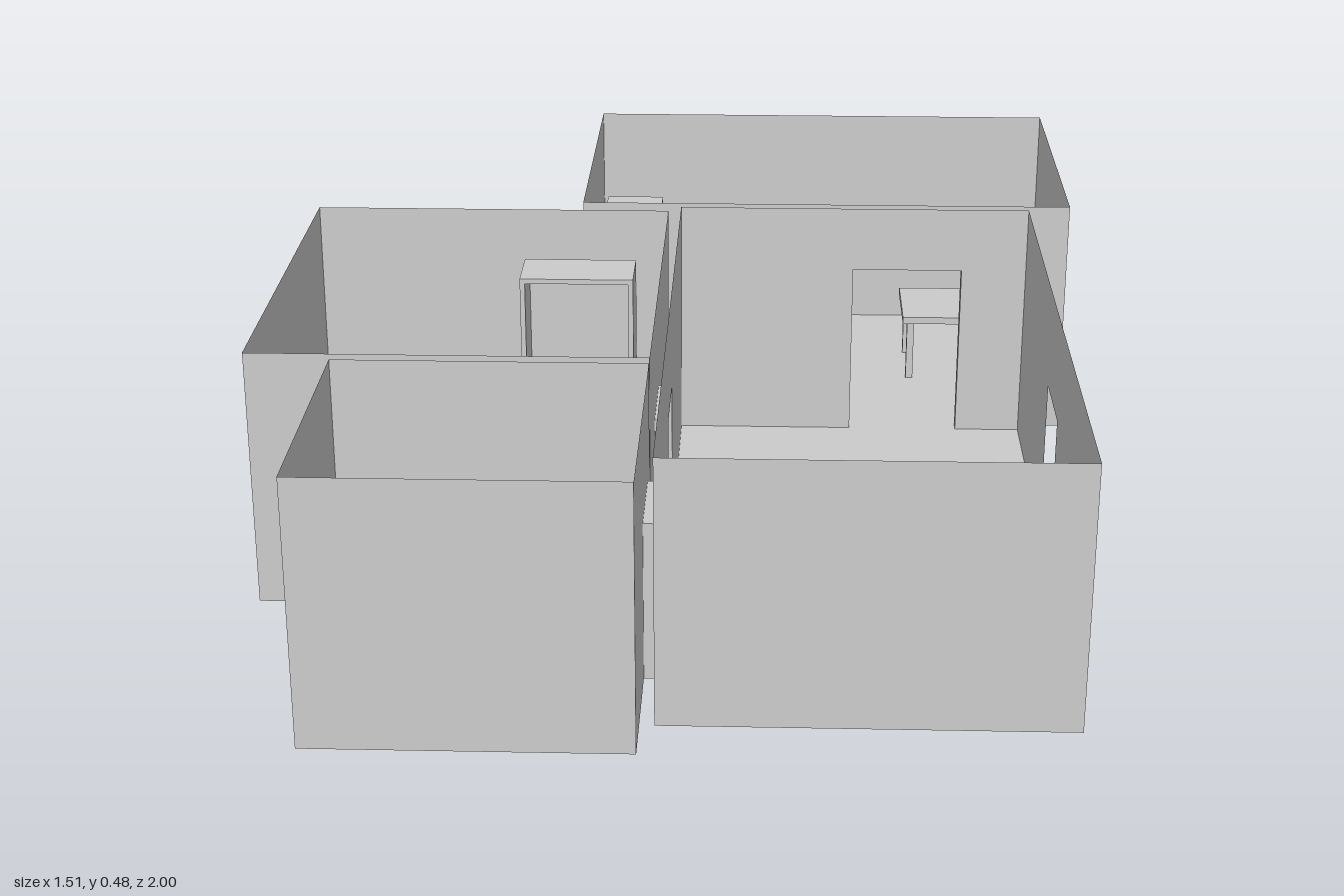
import * as THREE from 'three';

const H = 0.48; // wall height
const mat = new THREE.MeshStandardMaterial({ color: 0xcccccc, flatShading: true, side: THREE.DoubleSide });

// Rooms: extents plus door openings listed as [side, from, to, height]
const rooms = [
  { name: 'kitchen', x: [-0.23, 0.755], z: [-1, -0.36], doors: [['front', 0.32, 0.54, 0.35]] },
  { name: 'bedroom', x: [-0.76, -0.055], z: [-0.31, 0.487], doors: [['left', 0.15, 0.315, 0.29]] },
  { name: 'bathroom', x: [-0.605, -0.055], z: [0.513, 1], doors: [['left', 0.58, 0.75, 0.29]] },
  { name: 'hall', x: [-0.03, 0.67], z: [-0.335, 0.908], doors: [
    ['back', 0.32, 0.54, 0.35], ['right', 0.15, 0.315, 0.29],
    ['right', 0.58, 0.75, 0.29], ['left', 0.155, 0.32, 0.3]] },
];

function addMesh(parent, name, geometry) {
  const mesh = new THREE.Mesh(geometry, mat);
  mesh.name = name;
  parent.add(mesh);
  return mesh;
}

// Box given by its minimum and maximum on each axis
function box(parent, name, [x0, x1], [y0, y1], [z0, z1]) {
  const mesh = addMesh(parent, name, new THREE.BoxGeometry(x1 - x0, y1 - y0, z1 - z0));
  mesh.position.set((x0 + x1) / 2, (y0 + y1) / 2, (z0 + z1) / 2);
  return mesh;
}

function group(parent, name) {
  const g = new THREE.Group();
  g.name = name;
  parent.add(g);
  return g;
}

// Thin upright sheet with doorways notched into its lower edge
function wallGeometry(from, to, doors) {
  const shape = new THREE.Shape();
  shape.moveTo(from, H);
  shape.lineTo(from, 0);
  for (const [, a, b, h] of doors) {
    shape.lineTo(a, 0);
    shape.lineTo(a, h);
    shape.lineTo(b, h);
    shape.lineTo(b, 0);
  }
  shape.lineTo(to, 0);
  shape.lineTo(to, H);
  return new THREE.ShapeGeometry(shape);
}

function buildRoom(parent, { name, x, z, doors }) {
  const room = group(parent, name);
  const floor = addMesh(room, 'floor', new THREE.PlaneGeometry(x[1] - x[0], z[1] - z[0]).rotateX(-Math.PI / 2));
  floor.position.set((x[0] + x[1]) / 2, 0, (z[0] + z[1]) / 2);
  const on = (side) => doors.filter((d) => d[0] === side);
  for (const [side, at] of [['back', z[0]], ['front', z[1]]]) {
    addMesh(room, side + 'Wall', wallGeometry(...x, on(side))).position.z = at;
  }
  // Side walls run along z
  for (const [side, at] of [['right', x[0]], ['left', x[1]]]) {
    const flipped = on(side).map(([s, a, b, h]) => [s, -b, -a, h]).reverse();
    const wall = addMesh(room, side + 'Wall', wallGeometry(-z[1], -z[0], flipped));
    wall.rotation.y = Math.PI / 2;
    wall.position.x = at;
  }
  return room;
}

// Short open tunnel joining two doorways; runs along z, or along x when turned
function passage(parent, length, width, height, x, z, turned) {
  const g = group(parent, 'passage');
  for (const y of [0, height]) {
    addMesh(g, y ? 'lintel' : 'threshold', new THREE.PlaneGeometry(width, length).rotateX(-Math.PI / 2)).position.y = y;
  }
  for (const s of [-1, 1]) {
    const jamb = addMesh(g, 'jamb', new THREE.PlaneGeometry(length, height).rotateY(Math.PI / 2));
    jamb.position.set(s * width / 2, height / 2, 0);
  }
  g.position.set(x, 0, z);
  if (turned) g.rotation.y = Math.PI / 2;
}

// Four square legs inside a rectangle
function legs(parent, [x0, x1], [z0, z1], height, t) {
  for (const x of [x0, x1 - t]) {
    for (const z of [z0, z1 - t]) box(parent, 'leg', [x, x + t], [0, height], [z, z + t]);
  }
}

function furnishKitchen(room) {
  box(room, 'fridge', [-0.22, -0.095], [0, 0.29], [-0.98, -0.82]);

  // L-shaped counter
  const plan = new THREE.Shape([
    [-0.22, 0.79], [-0.22, 0.39], [0.08, 0.39], [0.08, 0.51], [-0.1, 0.51], [-0.1, 0.79],
  ].map(([x, y]) => new THREE.Vector2(x, y)));
  const counter = new THREE.ExtrudeGeometry(plan, { depth: 0.16, bevelEnabled: false });
  addMesh(room, 'counter', counter.rotateX(-Math.PI / 2));

  const table = group(room, 'table');
  box(table, 'tableTop', [0.44, 0.735], [0.13, 0.145], [-0.79, -0.605]);
  legs(table, [0.45, 0.725], [-0.78, -0.615], 0.13, 0.015);
}

function furnishBedroom(room) {
  const bed = group(room, 'bed');
  box(bed, 'bedFrame', [-0.67, -0.505], [0.05, 0.09], [0.13, 0.467]);
  box(bed, 'mattress', [-0.66, -0.508], [0.09, 0.1], [0.14, 0.458]);
  box(bed, 'pillow', [-0.62, -0.54], [0.1, 0.115], [0.405, 0.443]);
  legs(bed, [-0.67, -0.505], [0.13, 0.467], 0.05, 0.015);

  const stand = group(room, 'bedsideTable');
  box(stand, 'cabinet', [-0.465, -0.38], [0, 0.085], [0.405, 0.465]);
  box(stand, 'knob', [-0.435, -0.415], [0.085, 0.09], [0.433, 0.439]);

  // Open-fronted wardrobe
  const wardrobe = group(room, 'wardrobe');
  const x = [-0.345, -0.12], z = [-0.293, -0.175], top = 0.38, t = 0.01;
  box(wardrobe, 'backPanel', x, [0, top], [z[0], z[0] + t]);
  box(wardrobe, 'topPanel', x, [top - t, top], z);
  box(wardrobe, 'bottomPanel', x, [0, t], z);
  box(wardrobe, 'sidePanel', [x[0], x[0] + t], [0, top], z);
  box(wardrobe, 'sidePanel', [x[1] - t, x[1]], [0, top], z);
}

function furnishBathroom(room) {
  // Washstand with a recessed basin, a tall panel behind and a step in front
  const plan = new THREE.Shape();
  const rect = (p, x0, x1, y0, y1) => p.moveTo(x0, y0).lineTo(x1, y0).lineTo(x1, y1).lineTo(x0, y1).closePath();
  rect(plan, -0.255, -0.105, -0.997, -0.905);
  const hole = new THREE.Path();
  rect(hole, -0.22, -0.145, -0.985, -0.915);
  plan.holes.push(hole);
  const stand = new THREE.ExtrudeGeometry(plan, { depth: 0.13, bevelEnabled: false });
  addMesh(room, 'washstand', stand.rotateX(-Math.PI / 2));
  box(room, 'basinBottom', [-0.22, -0.145], [0.09, 0.1], [0.915, 0.985]);
  box(room, 'mirror', [-0.255, -0.105], [0.16, 0.42], [0.993, 0.999]);
  box(room, 'step', [-0.22, -0.14], [0, 0.02], [0.855, 0.88]);
}

export function createModel() {
  const house = new THREE.Group();
  house.name = 'house';
  const [kitchen, bedroom, bathroom] = rooms.map((r) => buildRoom(house, r));
  furnishKitchen(kitchen);
  furnishBedroom(bedroom);
  furnishBathroom(bathroom);
  passage(house, 0.025, 0.22, 0.35, 0.43, -0.3475, false);
  passage(house, 0.025, 0.165, 0.29, -0.0425, 0.2325, true);
  passage(house, 0.025, 0.17, 0.29, -0.0425, 0.665, true);
  return house;
}
